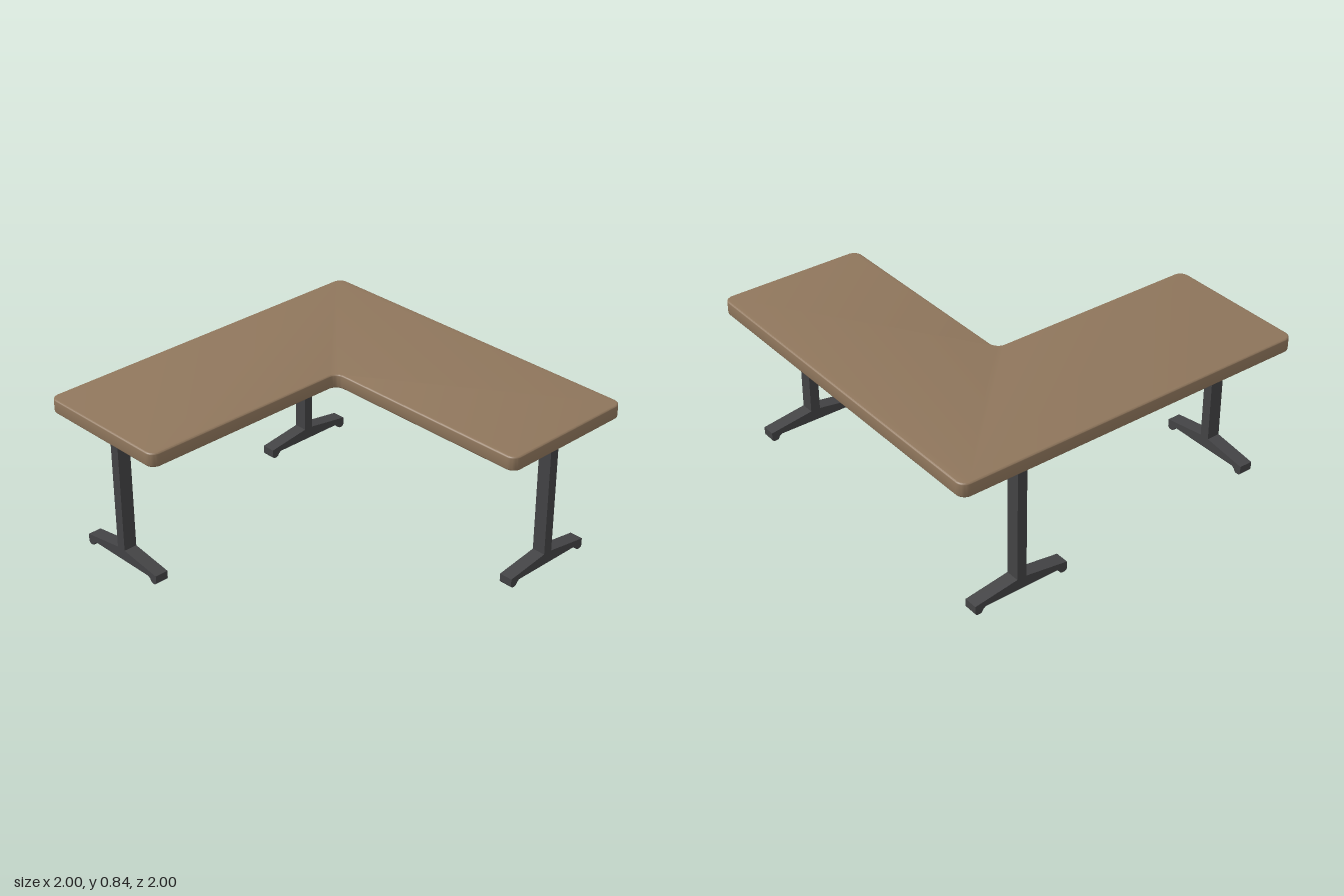
import * as THREE from 'three';
import { toCreasedNormals } from 'three/addons/utils/BufferGeometryUtils.js';

const wood = new THREE.MeshStandardMaterial({ name: 'walnut brown', color: 0x8f765c });
const metal = new THREE.MeshStandardMaterial({ name: 'charcoal metal', color: 0x434345 });

function addMesh(parent, name, geometry, material, y = 0) {
  const mesh = new THREE.Mesh(geometry, material);
  mesh.name = name;
  mesh.position.y = y;
  parent.add(mesh);
  return mesh;
}

// L-shaped outline with every corner rounded, including the inner one
function topShape(radius) {
  const corners = [[-1, -1], [-0.2, -1], [-0.2, 0.2], [1, 0.2], [1, 1], [-1, 1]]
    .map(([x, y]) => new THREE.Vector2(x, y));
  const shape = new THREE.Shape();
  corners.forEach((c, i) => {
    const prev = corners[(i + 5) % 6], next = corners[(i + 1) % 6];
    const a = c.clone().add(prev.clone().sub(c).setLength(radius));
    const b = c.clone().add(next.clone().sub(c).setLength(radius));
    const k = 0.5523;
    const h1 = a.clone().lerp(c, k), h2 = b.clone().lerp(c, k);
    if (i === 0) shape.moveTo(a.x, a.y); else shape.lineTo(a.x, a.y);
    shape.bezierCurveTo(h1.x, h1.y, h2.x, h2.y, b.x, b.y);
  });
  shape.closePath();
  return shape;
}

// T-leg running along x: mounting bar, column and sloped foot with end pads
function makeLeg(name, x, z, turn) {
  const leg = new THREE.Group();
  leg.name = name;
  const depth = 0.075;

  addMesh(leg, 'mountingBar', new THREE.BoxGeometry(0.65, 0.028, depth), metal, 0.749);
  addMesh(leg, 'column', new THREE.BoxGeometry(0.054, 0.655, depth), metal, 0.4125);

  // Half of the foot profile, mirrored to make the whole outline
  const half = [[0.027, 0.09], [0.272, 0.053], [0.272, 0.012], [0.268, 0.005],
    [0.26, 0], [0.243, 0], [0.234, 0.004], [0.226, 0.018], [0.212, 0.028]];
  const outline = [...half, ...half.map(([px, py]) => [-px, py]).reverse()]
    .map(([px, py]) => new THREE.Vector2(px, py));
  const foot = new THREE.ExtrudeGeometry(new THREE.Shape(outline), { depth, bevelEnabled: false });
  foot.translate(0, 0, -depth / 2);
  addMesh(leg, 'foot', foot, metal);

  leg.position.set(x, 0, z);
  leg.rotation.y = turn;
  return leg;
}

export function createModel() {
  const desk = new THREE.Group();
  desk.name = 'cornerDesk';

  // Tabletop slab with softened edges
  const bevel = 0.008, thickness = 0.075;
  const slab = new THREE.ExtrudeGeometry(topShape(0.05), {
    depth: thickness - 2 * bevel, curveSegments: 10,
    bevelThickness: bevel, bevelSize: bevel, bevelOffset: -bevel, bevelSegments: 3,
  });
  slab.translate(0, 0, bevel);
  slab.rotateX(-Math.PI / 2);
  addMesh(desk, 'tabletop', toCreasedNormals(slab, 0.7), wood, 0.762);

  // Three legs, one near each outer end
  desk.add(
    makeLeg('frontLeg', -0.605, 0.88, 0),
    makeLeg('cornerLeg', -0.888, -0.609, Math.PI / 2),
    makeLeg('sideLeg', 0.872, -0.609, Math.PI / 2),
  );
  return desk;
}
